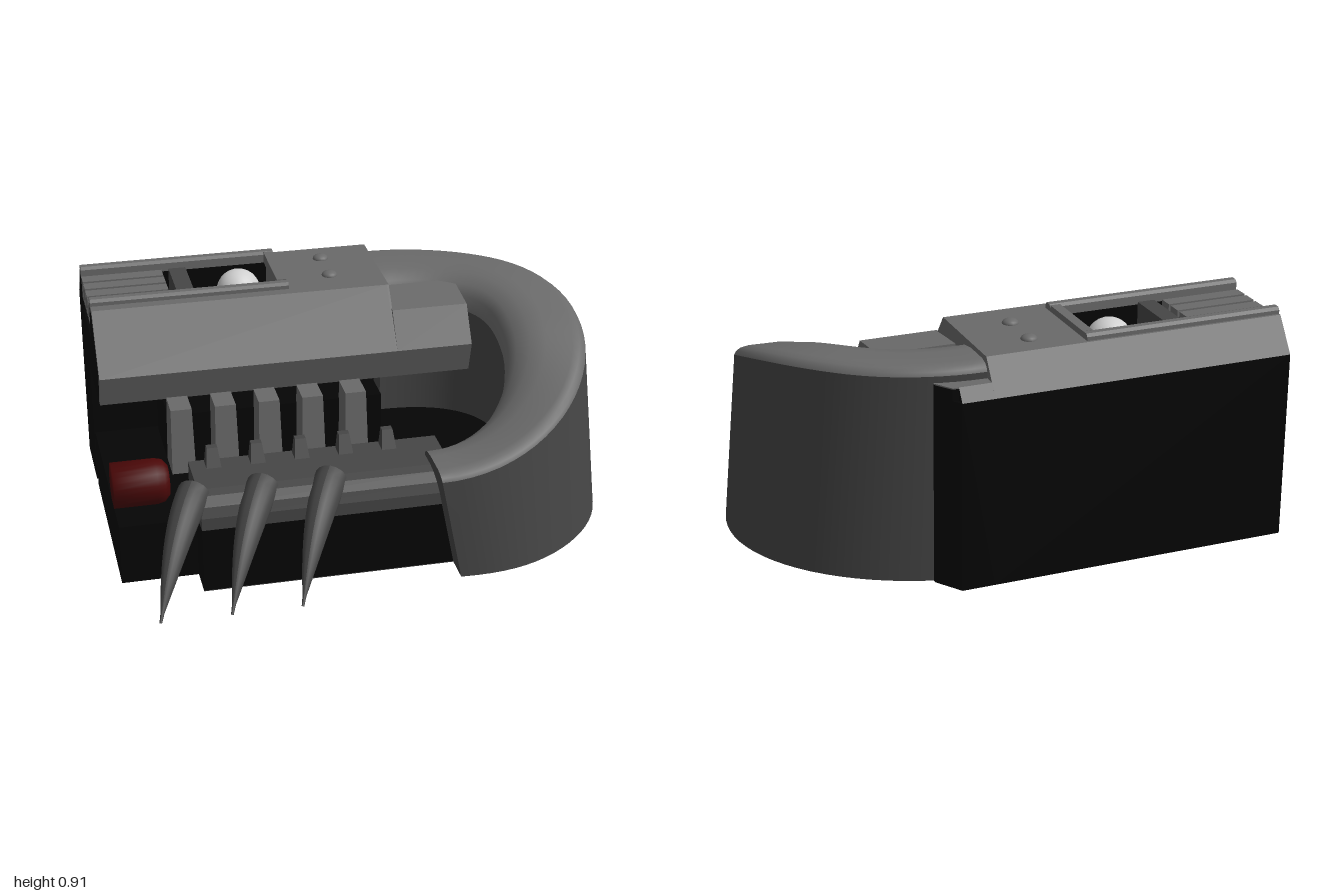
import * as THREE from 'three';

const mat = (name, color, side = THREE.FrontSide) => {
  const m = new THREE.MeshStandardMaterial({ color, side });
  m.name = name;
  return m;
};

export function createModel() {
  const group = new THREE.Group();
  const grey = mat('grey', 0x6a6a6a, THREE.DoubleSide);
  const darkGrey = mat('dark grey', 0x464646, THREE.DoubleSide);
  const black = mat('black', 0x050505);
  const red = mat('red', 0x4c0808);
  const white = mat('pale', 0xd0d0d0);

  const add = (name, geo, material) => {
    const m = new THREE.Mesh(geo, material);
    m.name = name;
    group.add(m);
    return m;
  };
  // box from its limits
  const box = (name, material, x0, x1, y0, y1, z0, z1) =>
    add(name, new THREE.BoxGeometry(x1 - x0, y1 - y0, z1 - z0)
      .translate((x0 + x1) / 2, (y0 + y1) / 2, (z0 + z1) / 2), material);
  const shapeOf = pts => new THREE.Shape(pts.map(p => new THREE.Vector2(...p)));
  // cross-section of [z, y] points swept from x0 to x1
  const sweepX = (name, material, pts, x0, x1) => {
    const geo = new THREE.ExtrudeGeometry(shapeOf(pts), { depth: x1 - x0, bevelEnabled: false });
    return add(name, geo.rotateY(-Math.PI / 2).translate(x1, 0, 0), material);
  };
  // plan of [x, -z] points raised from y0 to y1
  const raise = (name, material, pts, y0, y1) => {
    const geo = new THREE.ExtrudeGeometry(shapeOf(pts), { depth: y1 - y0, bevelEnabled: false });
    return add(name, geo.rotateX(-Math.PI / 2).translate(0, y0, 0), material);
  };
  // smooth surface through rows of points
  const loft = (name, material, rows) => {
    const n = rows[0].length, index = [];
    for (let i = 0; i < rows.length - 1; i++)
      for (let j = 0; j < n - 1; j++) {
        const a = i * n + j, b = a + n;
        index.push(a, a + 1, b, b, a + 1, b + 1);
      }
    const geo = new THREE.BufferGeometry();
    geo.setAttribute('position', new THREE.Float32BufferAttribute(rows.flat(2), 3));
    geo.setIndex(index);
    geo.computeVertexNormals();
    return add(name, geo, material);
  };

  // black body with a channel in its top, and the column behind the cowl
  sweepX('bodyCore', black, [[-0.8, 0], [-0.8, 0.75], [-0.71, 0.86], [-0.66, 0.86], [-0.66, 0.72],
    [-0.36, 0.72], [-0.36, 0.86], [-0.285, 0.86], [-0.13, 0.66], [-0.17, 0.53],
    [-0.515, 0.53], [-0.515, 0]], -1, 0.2);
  raise('columnEnd', black, [[0.2, 0.8], [0.33, 0.8], [0.4, 0.7], [0.4, 0.515], [0.2, 0.515]], 0, 0.75);
  raise('columnCorner', black, [[0.33, 0.765], [0.355, 0.765], [0.4, 0.7], [0.4, 0.6], [0.33, 0.6]], 0.75, 0.795);
  raise('columnCap', grey, [[0.33, 0.765], [0.355, 0.765], [0.4, 0.7], [0.4, 0.6], [0.33, 0.6]], 0.795, 0.8);

  // grey cover plates
  sweepX('coverFront', grey, [[-0.36, 0.88], [-0.27, 0.88], [-0.1, 0.66], [-0.14, 0.53],
    [-0.17, 0.53], [-0.13, 0.66], [-0.285, 0.86], [-0.36, 0.86]], -1, 0.2);
  sweepX('coverBack', grey, [[-0.66, 0.88], [-0.71, 0.88], [-0.8, 0.75], [-0.795, 0.75],
    [-0.7, 0.86], [-0.66, 0.86]], -1, 0.2);
  box('coverTop', grey, -0.23, 0.2, 0.72, 0.88, -0.66, -0.36);
  sweepX('coverEnd', grey, [[-0.8, 0.75], [-0.71, 0.88], [-0.27, 0.88], [-0.1, 0.66],
    [-0.14, 0.53], [-0.7, 0.53], [-0.7, 0.75]], 0.195, 0.203);
  sweepX('coverFrontEnd', grey, [[-0.4, 0.82], [-0.19, 0.8], [-0.1, 0.66], [-0.14, 0.53],
    [-0.4, 0.53]], 0.2, 0.51);
  sweepX('coverBackEnd', [black, grey], [[-0.8, 0.75], [-0.765, 0.8], [-0.69, 0.8], [-0.69, 0.75]], 0.2, 0.33);

  // raised frame, slats, divider and ball
  for (const z of [-0.7, -0.36])
    sweepX('frameRail', grey, [[z, 0.86], [z, 0.895], [z + 0.01, 0.906], [z + 0.035, 0.906],
      [z + 0.045, 0.895], [z + 0.045, 0.86]], -1, -0.2);
  box('frameEnd', grey, -0.24, -0.2, 0.86, 0.905, -0.66, -0.36);
  for (let i = 0; i < 4; i++) box('slat', grey, -1, -0.67, 0.78, 0.87, -0.65 + i * 0.074, -0.592 + i * 0.074);
  box('divider', darkGrey, -0.64, -0.57, 0.72, 0.87, -0.66, -0.36);
  add('ball', new THREE.SphereGeometry(0.09, 24, 16).translate(-0.37, 0.8, -0.53), white);
  for (const z of [-0.6, -0.42]) {
    const bolt = add('bolt', new THREE.SphereGeometry(0.032, 16, 6, 0, Math.PI * 2, 0, Math.PI / 2), grey);
    bolt.scale.y = 0.6;
    bolt.position.set(-0.01, 0.88, z);
  }

  // base, rear bar and lower jaw with its black front and flat sole
  raise('base', black, [[-1, -0.35], [0.5, -0.35], [0.61, -0.1], [0.61, 0.2], [0.5, 0.455], [-1, 0.455]], 0.003, 0.25);
  box('toothBar', black, -0.74, 0.13, 0.24, 0.48, -0.42, -0.09);
  box('jawFront', black, -0.7, 0.29, 0.003, 0.27, 0.2, 0.475);
  box('jawSole', darkGrey, -0.7, 0.29, 0, 0.003, 0.2, 0.475);
  sweepX('jaw', darkGrey, [[0.16, 0.25], [0.16, 0.4], [0.39, 0.4], [0.43, 0.39], [0.465, 0.36],
    [0.48, 0.32], [0.48, 0.27], [0.44, 0.25]], -0.7, 0.29);

  // tapered teeth, their tops set back by lean
  const tooth = (name, material, w, h, d, x, y, z, taper, lean) => {
    const geo = new THREE.BoxGeometry(w, h, d), p = geo.attributes.position;
    for (let i = 0; i < p.count; i++) if (p.getY(i) > 0) {
      p.setX(i, p.getX(i) * taper);
      if (p.getZ(i) > 0) p.setZ(i, p.getZ(i) - lean);
    }
    geo.computeVertexNormals();
    add(name, geo.translate(x, y, z), material);
  };
  for (let i = 0; i < 5; i++) {
    tooth('upperTooth', grey, 0.095, 0.27, 0.14, -0.7 + i * 0.175, 0.42, -0.03, 0.88, 0.02);
    tooth('lowerTooth', darkGrey, 0.065, 0.1, 0.08, -0.61 + i * 0.174, 0.42, 0.21, 0.65, 0.05);
  }

  // curved claws: a tube whose rings narrow towards the tip, closed by a disc
  for (let c = 0; c < 3; c++) {
    const x = -0.71 + c * 0.266;
    const curve = new THREE.QuadraticBezierCurve3(new THREE.Vector3(x, 0.385, 0.38),
      new THREE.Vector3(x - 0.1, 0.32, 0.56), new THREE.Vector3(x - 0.198, 0.08, 0.785));
    const n = 14, sides = 16, radius = 0.064;
    const geo = new THREE.TubeGeometry(curve, n, radius, sides);
    const p = geo.attributes.position, v = new THREE.Vector3();
    for (let i = 0; i < p.count; i++) {
      const t = Math.floor(i / (sides + 1)) / n, centre = curve.getPointAt(t);
      const k = Math.max(0.08, 1 - t ** 1.7);
      v.fromBufferAttribute(p, i).sub(centre).multiplyScalar(k).add(centre);
      p.setXYZ(i, v.x, v.y, v.z);
    }
    geo.computeVertexNormals();
    add('claw', geo, darkGrey);
    const root = add('clawRoot', new THREE.CircleGeometry(radius, sides), darkGrey);
    root.position.copy(curve.getPoint(0));
    root.lookAt(root.position.clone().sub(curve.getTangent(0)));
  }

  // red roller with a rounded end
  const roller = [[0, 0], [0.09, 0], [0.09, 0.17], [0.083, 0.2], [0.06, 0.22], [0, 0.225]]
    .map(p => new THREE.Vector2(...p));
  add('roller', new THREE.LatheGeometry(roller, 24).rotateZ(-Math.PI / 2)
    .translate(-1, 0.33, 0.16), red);

  // U-shaped cowl: sections turn around the end, lower towards the front
  const power = (v, e) => Math.sign(v) * Math.abs(v) ** e;
  const section = (angle) => {
    const c = Math.max(0, Math.cos(angle)), s = Math.sin(angle);
    const fall = Math.max(0, (-0.065 + 0.655 * s + 0.55) / 1.14);
    const h = 0.86 - 0.4 * fall * fall;
    // a runs from the outer wall (0) to the inner wall (1); drop is measured from the top
    return (a, drop) => {
      const y = drop === null ? 0 : h - drop;
      const low = 1 - y / h;
      const ox = (0.8 - 0.075 * y) * c, oz = -0.065 + 0.655 * s + 0.06 * low * c;
      const ix = 0.42 * power(c, 0.85), iz = -0.06 + 0.34 * power(s, 0.85);
      const slant = 0.09 * low * Math.max(0, s) ** 6;
      return [0.2 + slant + ox + (ix - ox) * a, y, oz + (iz - oz) * a];
    };
  };
  const top = [[0, 0.035], [0.02, 0.02], [0.07, 0.007], [0.16, 0], [0.5, 0], [0.7, 0.01],
    [0.87, 0.04], [0.96, 0.08], [1, 0.14]];
  const steps = 40, sections = [];
  for (let i = 0; i <= steps; i++) sections.push(section((i / steps - 0.5) * Math.PI));
  const rows = pts => sections.map(f => pts.map(p => f(...p)));
  loft('cowlOuterWall', darkGrey, rows([[0, null], [0, 0.035]]));
  loft('cowlTop', grey, rows(top));
  loft('cowlInnerWall', darkGrey, rows([[1, 0.14], [1, null]]));
  loft('cowlUnderside', darkGrey, rows([[1, null], [0, null]])).position.y = 0.006;
  // flat ends of the cowl
  for (const f of [sections[0], sections[steps]])
    loft('cowlEnd', darkGrey, [top.map(p => f(...p)), top.map(p => f(p[0], null))]);

  return group;
}
